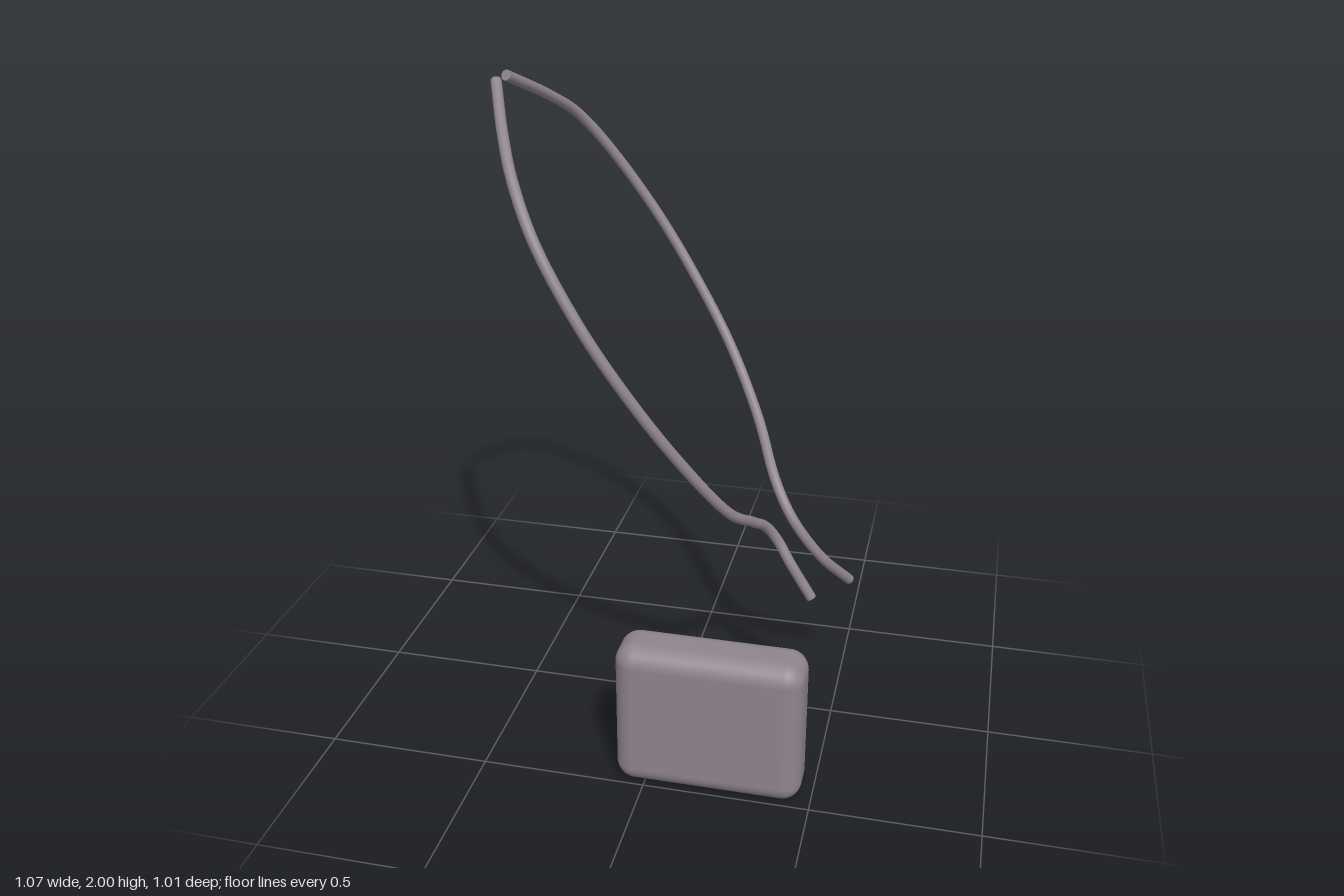
import * as THREE from 'three';
import { RoundedBoxGeometry } from 'three/addons/geometries/RoundedBoxGeometry.js';

const WIRE_RADIUS = 0.016;

// Wire bent within a slanted plane: profile is [z, y], x follows y linearly.
function makeWire(name, profile, xTop, xEnd, material) {
  const yTop = profile[0][1];
  const yEnd = profile[profile.length - 1][1];
  const points = profile.map(([z, y]) =>
    new THREE.Vector3(THREE.MathUtils.mapLinear(y, yTop, yEnd, xTop, xEnd), y, z));
  const curve = new THREE.CatmullRomCurve3(points);
  const group = new THREE.Group();
  group.name = name;

  const rod = new THREE.Mesh(new THREE.TubeGeometry(curve, 120, WIRE_RADIUS, 16), material);
  rod.name = name + 'Rod';
  group.add(rod);

  // flat end caps
  for (const [t, sign, label] of [[0, -1, 'TopCap'], [1, 1, 'EndCap']]) {
    const cap = new THREE.Mesh(new THREE.CircleGeometry(WIRE_RADIUS, 16), material);
    cap.name = name + label;
    cap.position.copy(curve.getPointAt(t));
    cap.quaternion.setFromUnitVectors(
      new THREE.Vector3(0, 0, 1), curve.getTangentAt(t).multiplyScalar(sign));
    group.add(cap);
  }
  return group;
}

export function createModel() {
  const model = new THREE.Group();
  model.name = 'wireLoopAndBlock';
  const grey = new THREE.MeshStandardMaterial({ color: 0x8f858c });
  grey.name = 'warm grey';

  // Rounded block
  const block = new THREE.Mesh(new RoundedBoxGeometry(0.56, 0.465, 0.17, 6, 0.058), grey);
  block.name = 'roundedBlock';
  block.position.set(0.19, 0.2325, 0.42);
  model.add(block);

  // Front half of the loop
  model.add(makeWire('frontWire', [
    [0.035, 1.987], [0.193, 1.873], [0.304, 1.772], [0.394, 1.632], [0.43, 1.43],
    [0.41, 1.236], [0.347, 1.024], [0.23, 0.805], [0.114, 0.722], [0.045, 0.672],
    [0.025, 0.62], [0.034, 0.55], [0.034, 0.435],
  ], -0.522, 0.425, grey));

  // Back half of the loop, with a flared end
  model.add(makeWire('backWire', [
    [-0.048, 1.987], [-0.257, 1.89], [-0.373, 1.815], [-0.445, 1.69], [-0.487, 1.48],
    [-0.468, 1.29], [-0.4, 1.087], [-0.257, 0.902], [-0.09, 0.77], [-0.038, 0.69],
    [-0.032, 0.625], [-0.062, 0.525], [-0.155, 0.405],
  ], -0.522, 0.522, grey));

  return model;
}
